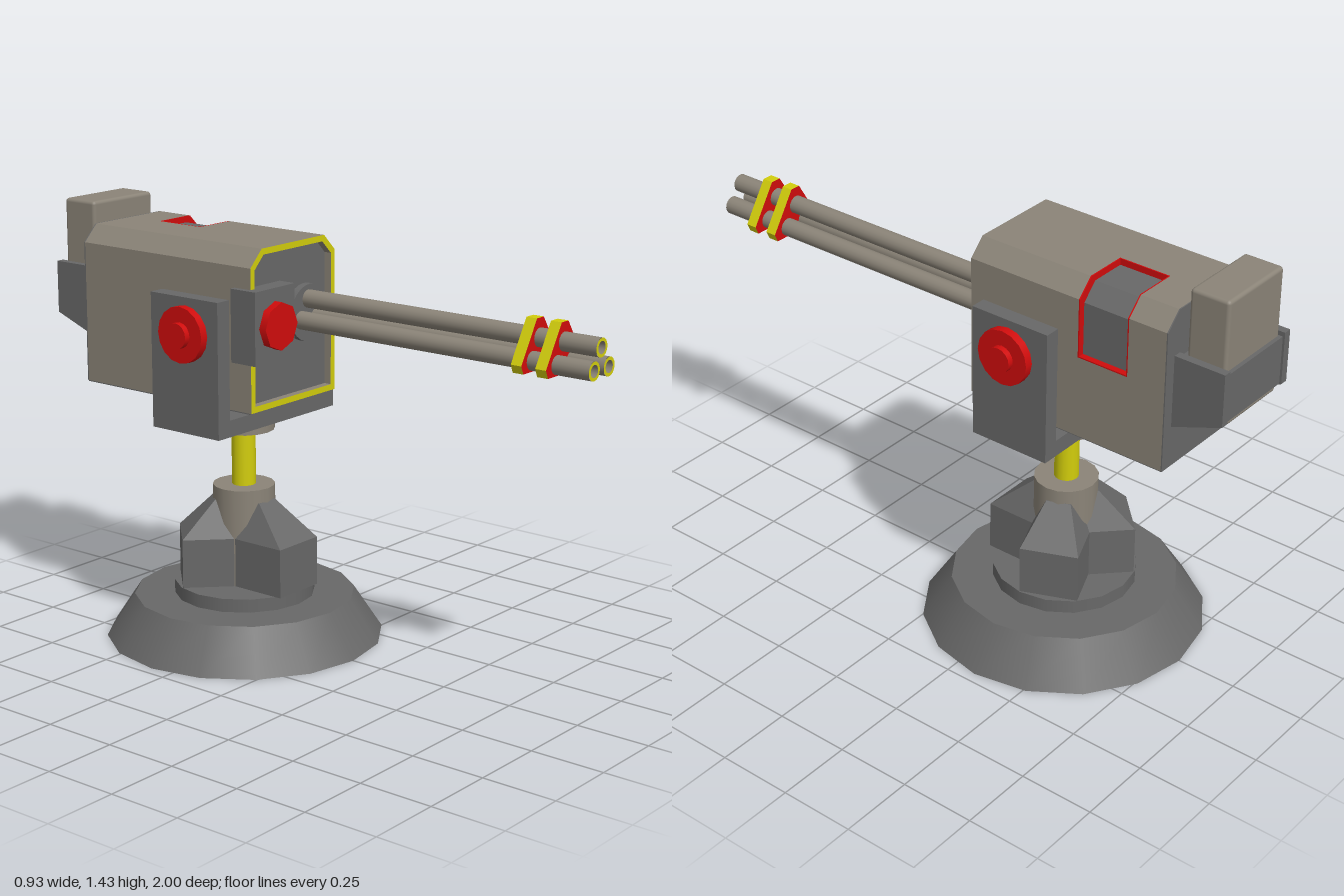
import * as THREE from 'three';
import { ConvexGeometry } from 'three/addons/geometries/ConvexGeometry.js';
import { RoundedBoxGeometry } from 'three/addons/geometries/RoundedBoxGeometry.js';

const mat = (name, color, side = THREE.FrontSide) => new THREE.MeshStandardMaterial({ name, color, side });

export function createModel() {
  const gray = mat('dark gray metal', 0x686868);
  const tan = mat('warm gray metal', 0x8b8478, THREE.DoubleSide);
  const yellow = mat('warning yellow', 0xd2cd0c);
  const red = mat('signal red', 0xd00c0c);
  const model = new THREE.Group();
  const AXIS = -0.33; // z of the pedestal axis

  const add = (name, geo, material, x = 0, y = 0, z = 0, parent = model) => {
    const mesh = new THREE.Mesh(geo, material);
    mesh.name = name;
    mesh.position.set(x, y, z);
    parent.add(mesh);
    return mesh;
  };
  // Box given by its extents
  const box = (name, material, x0, x1, y0, y1, z0, z1) =>
    add(name, new THREE.BoxGeometry(x1 - x0, y1 - y0, z1 - z0), material,
      (x0 + x1) / 2, (y0 + y1) / 2, (z0 + z1) / 2);
  // Upright cylinder on the pedestal axis
  const drum = (name, material, rTop, rBottom, y0, y1, sides) =>
    add(name, new THREE.CylinderGeometry(rTop, rBottom, y1 - y0, sides), material, 0, (y0 + y1) / 2, AXIS);
  // Cylinder lying along z
  const rod = (name, material, r, x, y, z0, z1, sides, open = false) =>
    add(name, new THREE.CylinderGeometry(r, r, z1 - z0, sides, 1, open).rotateX(Math.PI / 2),
      material, x, y, (z0 + z1) / 2);
  const shape = (pts) => new THREE.Shape(pts.map(([x, y]) => new THREE.Vector2(x, y)));
  // Profile in xy extruded from z0 to z1
  const slab = (name, material, profile, z0, z1) =>
    add(name, new THREE.ExtrudeGeometry(profile, { depth: z1 - z0, bevelEnabled: false }), material, 0, 0, z0);

  // Pedestal
  drum('base', gray, 0.37, 0.465, 0, 0.145, 16);
  drum('baseDisc', gray, 0.235, 0.235, 0.145, 0.19, 16);
  drum('column', tan, 0.104, 0.104, 0.19, 0.52, 16);
  drum('post', yellow, 0.04, 0.04, 0.52, 0.71, 16);
  drum('collar', tan, 0.104, 0.104, 0.71, 0.755, 16);

  // Buttress fins round the column
  for (const [degrees, r] of [[0, 0.235], [113, 0.212], [225, 0.212]]) {
    const pts = [];
    for (const s of [-1, 1]) {
      for (const [w, y, z] of [[0.095, 0.19, 0], [0.095, 0.19, r], [0.095, 0.355, 0],
        [0.095, 0.355, r], [0.04, 0.475, 0], [0.04, 0.475, 0.1]]) pts.push(new THREE.Vector3(s * w, y, z));
    }
    add('fin', new ConvexGeometry(pts), gray, 0, 0, AXIS).rotation.y = THREE.MathUtils.degToRad(degrees);
  }

  // Yoke with its red pivots
  slab('yoke', gray, shape([[-0.298, 0.755], [0.28, 0.755], [0.28, 1.2], [0.228, 1.2], [0.228, 0.81],
    [-0.243, 0.81], [-0.243, 1.2], [-0.298, 1.2]]), -0.457, -0.175);
  for (const [side, wall] of [[-1, -0.298], [1, 0.28]]) {
    for (const [name, r, t] of [['pivotCap', 0.092, 0.028], ['pivotBoss', 0.042, 0.048]]) {
      add(name, new THREE.CylinderGeometry(r, r, t, 16).rotateZ(Math.PI / 2), red, wall + side * t / 2, 1.083, -0.31);
    }
  }
  box('pivotBlockRight', gray, -0.245, -0.22, 1.0, 1.17, -0.39, -0.24);
  box('pivotBlockLeft', gray, 0.2, 0.23, 1.0, 1.17, -0.39, -0.24);

  // Gun body, cut away between z -0.69 and -0.51 for the corner notch
  const outline = [[-0.22, 0.838], [0.2, 0.838], [0.2, 1.305], [0.145, 1.36], [-0.165, 1.36], [-0.22, 1.305]];
  const inner = [[-0.2, 0.858], [0.18, 0.858], [0.18, 1.296], [0.136, 1.34], [-0.156, 1.34], [-0.2, 1.296]];
  const notchFloor = [[0.175, 1.11], [0.175, 1.285], [0.125, 1.335], [0, 1.335]];
  const d = 0.004;
  slab('bodyFront', tan, shape(outline), -0.51, -0.135);
  slab('bodyMiddle', tan, shape([[-0.22, 0.838], [0.2, 0.838], [0.2, 1.11], ...notchFloor,
    [0, 1.36], [-0.165, 1.36], [-0.22, 1.305]]), -0.69, -0.51);
  slab('bodyRear', tan, shape(outline), -0.822, -0.69);
  slab('rearPanel', gray, shape(outline), -0.826, -0.822);
  box('bellyPanel', gray, -0.218, 0.198, 0.834, 0.838, -0.824, -0.11);

  // Notch lining: gray floor, red walls
  slab('notchFloor', gray, shape([...notchFloor, [0, 1.335 + d], [0.127, 1.335 + d],
    [0.175 + d, 1.287], [0.175 + d, 1.11]]), -0.69, -0.51);
  const wall = [...notchFloor, [0, 1.36], [0.145, 1.36], [0.2, 1.305], [0.2, 1.11]];
  slab('notchRearWall', red, shape(wall), -0.69, -0.69 + d);
  slab('notchFrontWall', red, shape(wall), -0.51 - d, -0.51);
  box('notchTopWall', red, 0, d, 1.335, 1.36, -0.69, -0.51);
  box('notchLedge', red, 0.175, 0.2, 1.11, 1.11 + d, -0.69, -0.51);

  // Yellow front rim round a recessed panel
  const rim = shape(outline);
  rim.holes.push(shape(inner));
  slab('frontRim', [yellow, tan], rim, -0.135, -0.105);
  slab('frontPanel', gray, shape(inner), -0.135, -0.131);
  rod('barrelMount', gray, 0.094, 0.073, 1.117, -0.131, -0.107, 24);

  // Sensor box with an eight-sided lens
  box('sensorBox', gray, -0.24, -0.047, 1.0, 1.237, -0.17, -0.07);
  rod('sensorLens', red, 0.078, -0.143, 1.117, -0.07, -0.043, 8);

  // Three hollow barrels with yellow muzzles
  for (const [x, y] of [[0.067, 1.164], [0.03, 1.099], [0.111, 1.099]]) {
    rod('barrel', tan, 0.03, x, y, -0.12, 0.998, 16, true);
    rod('bore', tan, 0.02, x, y, 0.87, 0.998, 16, true);
    add('muzzle', new THREE.RingGeometry(0.02, 0.03, 16), yellow, x, y, 1);
  }

  // Barrel clamps: red faces, yellow edges
  const clamp = shape([[-0.016, 1.065], [0.161, 1.065], [0.173, 1.092], [0.086, 1.224], [0.05, 1.224], [-0.028, 1.092]]);
  for (const z of [0.745, 0.832]) slab('barrelClamp', [red, yellow], clamp, z, z + 0.038);

  // Magazine held by a bracket at the rear
  add('magazine', new RoundedBoxGeometry(0.28, 0.42, 0.135, 2, 0.012), tan, -0.012, 1.218, -0.912);
  for (const x of [-0.176, 0.135]) {
    const arm = shape([[0.826, 0.975], [1.0, 1.04], [1.0, 1.215], [0.826, 1.215]]);
    // the profile's first axis is turned to run towards the rear
    add('bracketArm', new THREE.ExtrudeGeometry(arm, { depth: 0.027, bevelEnabled: false }).rotateY(Math.PI / 2),
      gray, x, 0, 0);
  }
  box('bracketStrap', gray, -0.15, 0.136, 1.04, 1.2, -0.993, -0.978);
  box('bracketPad', gray, -0.15, 0.136, 1.0, 1.2, -0.848, -0.826);
  return model;
}
